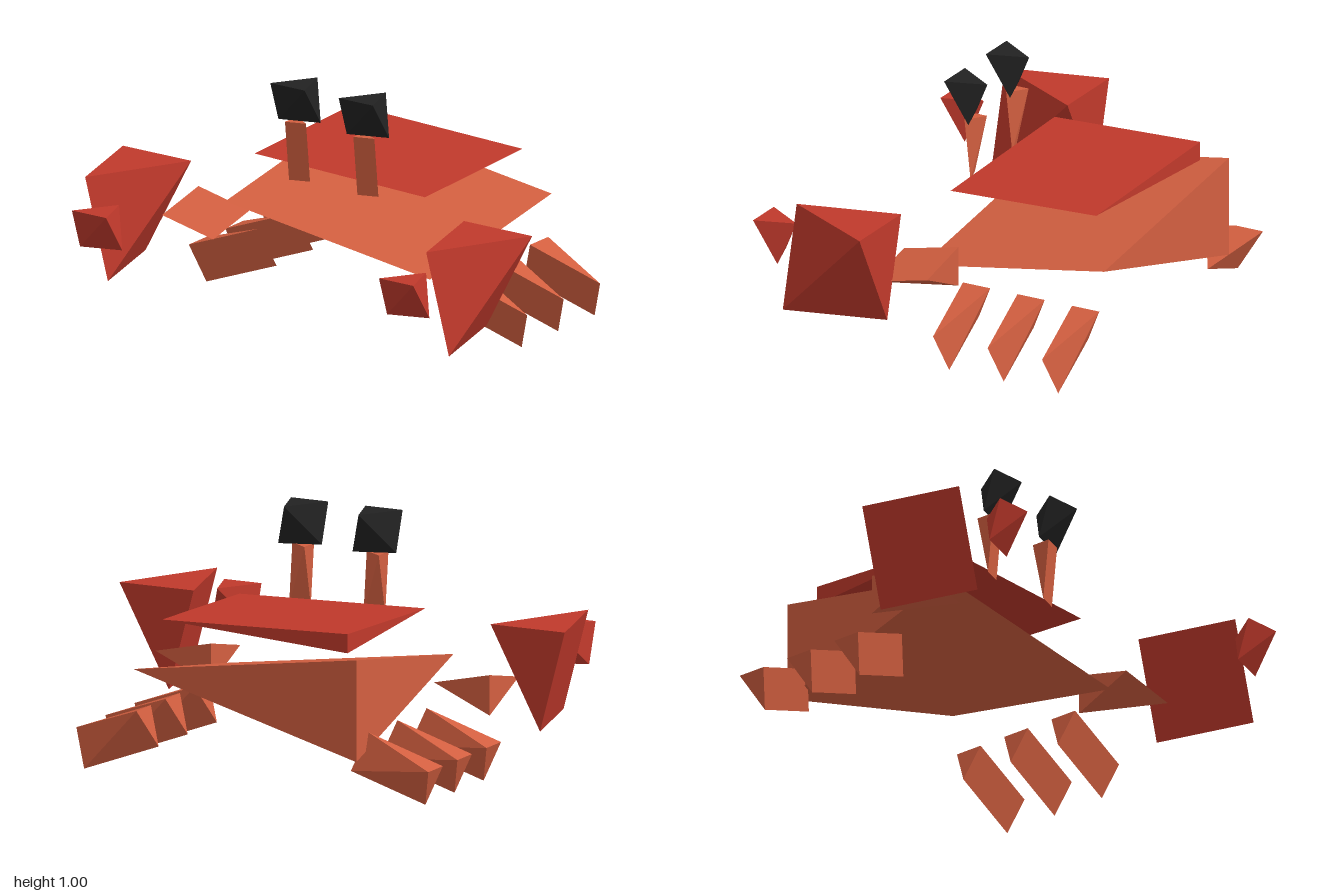
import * as THREE from 'three';
import { ConvexGeometry } from 'three/addons/geometries/ConvexGeometry.js';

const T = 1 / 6; // a third of a unit box, measured from its centre

// Slanted four-sided pyramid: a tilted quad facing +z, tip behind its upper -x corner
const SHARD = [
  [-0.5, 0.5, 0.5], [0.5, 0.5, T], [-0.5, -0.5, T], [0.5, -0.5, -T],
  [-0.5, 0.5, -0.5],
];
// Triangle on top narrowing to a skewed edge below
const WEDGE = [
  [-0.5, 0.5, 0.5], [0.5, 0.5, 0.5], [T, 0.5, -0.5],
  [-0.5, -0.5, T], [0.5, -0.5, -T],
];

function makeMaterial(name, color) {
  const material = new THREE.MeshStandardMaterial({ color });
  material.name = name;
  return material;
}

export function createModel() {
  const group = new THREE.Group();
  const orange = makeMaterial('shell orange', 0xd35f40);
  const red = makeMaterial('claw red', 0xc0392b);
  const black = makeMaterial('eye black', 0x222222);

  function add(name, shape, material, size, position, rotation = [0, 0, 0]) {
    const points = shape.map(([x, y, z]) =>
      new THREE.Vector3(x * size[0], y * size[1], z * size[2]));
    const mesh = new THREE.Mesh(new ConvexGeometry(points), material);
    mesh.name = name;
    mesh.position.set(...position);
    mesh.rotation.set(...rotation);
    group.add(mesh);
  }

  const flat = [-Math.PI / 2, 0, 0];    // quad turned upwards
  const sideways = [0, -Math.PI / 2, 0]; // quad turned to -x

  // Body and back plate
  add('body', SHARD, orange, [1, 0.835, 0.415], [0, 0.378, -0.292], flat);
  add('backPlate', SHARD, red, [0.833, 0.667, 0.078], [0, 0.628, -0.292], flat);

  for (const s of [-1, 1]) {
    const side = s > 0 ? 'left' : 'right';

    // Eye on its stalk
    add(side + 'EyeStalk', SHARD, orange, [0.083, 0.25, 0.083], [s * 0.167, 0.71, 0.083]);
    add(side + 'Eye', WEDGE, black, [0.167, 0.165, 0.167], [s * 0.167, 0.918, 0.083]);

    // Arm, claw and pincer
    add(side + 'Arm', SHARD, orange, [0.25, 0.25, 0.165], [s * 0.625, 0.337, 0.083], flat);
    add(side + 'Claw', SHARD, red, [0.415, 0.415, 0.333], [s * 0.833, 0.378, 0.333], sideways);
    add(side + 'Pincer', WEDGE, red, [0.167, 0.165, 0.167], [s * 0.75, 0.418, 0.625]);

    // Three legs, sloping down and outwards
    for (let i = 0; i < 3; i++) {
      add(side + 'Leg' + (i + 1), SHARD, orange, [0.333, 0.165, 0.125],
        [s * 0.627, 0.137, -0.125 - i * 0.25], [0, 0, -s * 0.35]);
    }
  }
  return group;
}
